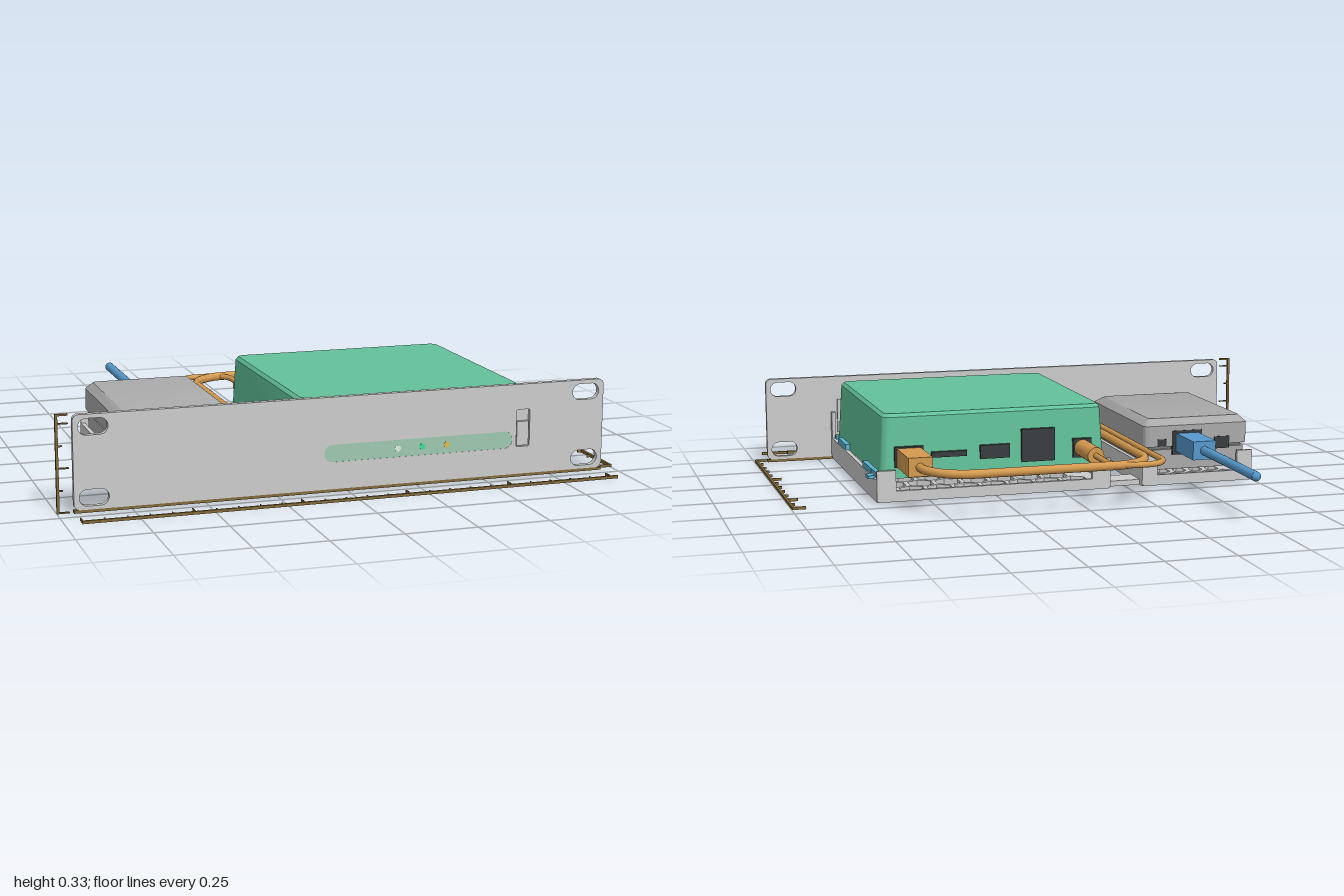
import * as THREE from 'three';
import { toCreasedNormals } from 'three/addons/utils/BufferGeometryUtils.js';

const mat = (color) => new THREE.MeshStandardMaterial({ color });
const M = {
  grey: mat(0xcccccc), device: mat(0xaaaaaa), seam: mat(0x777777), dark: mat(0x3a3d40),
  green: mat(0x62c29a), orange: mat(0xd49a50), blue: mat(0x5599cc), teal: mat(0x58b0cc),
  brown: mat(0x806a38), diffuser: mat(0x9fc8b2), ledWhite: mat(0xddeee4), ledGreen: mat(0x44dd99), ledAmber: mat(0xd8bd50),
};

export function createModel() {
  const root = new THREE.Group();
  const group = (name) => { const g = new THREE.Group(); g.name = name; root.add(g); return g; };
  const add = (parent, name, geo, material) => {
    const m = new THREE.Mesh(geo, material);
    m.name = name;
    parent.add(m);
    return m;
  };
  // Box given by its limits on each axis
  const box = (p, name, m, x0, x1, y0, y1, z0, z1) => {
    const b = add(p, name, new THREE.BoxGeometry(x1 - x0, y1 - y0, z1 - z0), m);
    b.position.set((x0 + x1) / 2, (y0 + y1) / 2, (z0 + z1) / 2);
    return b;
  };
  const roundRect = (target, x0, x1, y0, y1, r) => {
    target.moveTo(x0 + r, y0);
    target.lineTo(x1 - r, y0); target.absarc(x1 - r, y0 + r, r, -Math.PI / 2, 0);
    target.lineTo(x1, y1 - r); target.absarc(x1 - r, y1 - r, r, 0, Math.PI / 2);
    target.lineTo(x0 + r, y1); target.absarc(x0 + r, y1 - r, r, Math.PI / 2, Math.PI);
    target.lineTo(x0, y0 + r); target.absarc(x0 + r, y0 + r, r, Math.PI, Math.PI * 1.5);
    return target;
  };
  const extrude = (shape, depth) => toCreasedNormals(
    new THREE.ExtrudeGeometry(shape, { depth, bevelEnabled: false, curveSegments: 6 }), 0.6);
  // Horizontal plate: the shape is drawn in (x, -z)
  const flat = (shape, y0, y1) => extrude(shape, y1 - y0).rotateX(-Math.PI / 2).translate(0, y0, 0);
  // Rounded block whose top is inset on the four sides
  const taper = (x0, x1, z0, z1, r, y0, y1, inX, inBack, inFront) => {
    const g = flat(roundRect(new THREE.Shape(), x0, x1, -z1, -z0, r), y0, y1);
    const p = g.attributes.position, nx0 = x0 + inX, nx1 = x1 - inX, nz0 = z0 + inBack, nz1 = z1 - inFront;
    for (let i = 0; i < p.count; i++) {
      if (p.getY(i) < (y0 + y1) / 2) continue;
      p.setX(i, nx0 + (p.getX(i) - x0) / (x1 - x0) * (nx1 - nx0));
      p.setZ(i, nz0 + (p.getZ(i) - z0) / (z1 - z0) * (nz1 - nz0));
    }
    return toCreasedNormals(g, 0.6);
  };

  // Front panel with rack slots, light bar and switch opening
  const panel = group('frontPanel');
  const face = roundRect(new THREE.Shape(), -0.945, 0.95, 0.01, 0.33, 0.02);
  for (const x of [-0.877, 0.882]) for (const y of [0.05, 0.288])
    face.holes.push(roundRect(new THREE.Path(), x - 0.05, x + 0.05, y - 0.028, y + 0.028, 0.0279));
  face.holes.push(roundRect(new THREE.Path(), -0.085, 0.605, 0.105, 0.165, 0.0299));
  face.holes.push(roundRect(new THREE.Path(), 0.62, 0.67, 0.108, 0.24, 0.006));
  add(panel, 'panelPlate', extrude(face, 0.02).translate(0, 0, 0.69), M.grey);
  add(panel, 'lightBar', extrude(roundRect(new THREE.Shape(), -0.085, 0.605, 0.105, 0.165, 0.0299), 0.019)
    .translate(0, 0, 0.69), M.diffuser);
  [[0.18, M.ledWhite], [0.27, M.ledGreen], [0.36, M.ledAmber]].forEach(([x, m]) => {
    add(panel, 'indicatorLight', new THREE.CylinderGeometry(0.011, 0.011, 0.021, 16).rotateX(Math.PI / 2), m)
      .position.set(x, 0.135, 0.7);
  });
  box(panel, 'switchSlider', M.grey, 0.623, 0.667, 0.111, 0.197, 0.685, 0.708);
  box(panel, 'switchBack', M.grey, 0.62, 0.67, 0.108, 0.24, 0.68, 0.696);

  // Plate perforated by a honeycomb
  const honeycomb = (shape, x0, x1, z0, z1, cols, rows, wall) => {
    const px = (x1 - x0) / (cols + 0.5), pz = (z1 - z0) / rows;
    const rx = px / Math.sqrt(3) - wall, rz = pz / 1.5 - wall;
    for (let j = 0; j < rows; j++) for (let i = 0; i < cols; i++) {
      const cx = x0 + px * (i + 0.5 + (j % 2) / 2), cz = z0 + pz * (j + 0.5), pts = [];
      for (let k = 0; k < 6; k++) {
        const a = Math.PI / 6 + k * Math.PI / 3;
        pts.push(new THREE.Vector2(cx + rx * Math.cos(a), -cz + rz * Math.sin(a)));
      }
      shape.holes.push(new THREE.Path(pts));
    }
    return shape;
  };

  // Large tray
  const tray = group('largeTray');
  add(tray, 'trayFloor', flat(honeycomb(roundRect(new THREE.Shape(), -0.178, 0.695, -0.69, 0.19, 0.012),
    -0.125, 0.645, -0.13, 0.62, 7, 8, 0.009), 0.006, 0.026), M.grey);
  for (const x of [-0.178, 0.68]) {
    box(tray, 'traySide', M.grey, x, x + 0.015, 0.01, 0.087, -0.19, 0.69);
    box(tray, 'sideBrace', M.grey, x, x + 0.015, 0.087, 0.19, 0.668, 0.69);
  }
  box(tray, 'trayBack', M.grey, -0.178, 0.695, 0.01, 0.045, -0.19, -0.175);
  for (const x of [-0.178, 0.625]) box(tray, 'rearStop', M.grey, x, x + 0.07, 0.045, 0.12, -0.19, -0.175);
  for (const x of [-0.163, 0.655]) box(tray, 'supportLedge', M.grey, x, x + 0.025, 0.06, 0.085, -0.175, 0.68);

  // Small tray, its tapering neck and the two links
  const small = group('smallTray');
  add(small, 'smallTrayFloor', flat(honeycomb(roundRect(new THREE.Shape(), -0.737, -0.302, -0.45, 0.19, 0.012),
    -0.7, -0.34, -0.14, 0.4, 5, 8, 0.011), 0.006, 0.026), M.grey);
  const neck = new THREE.Shape([[-0.737, 0.44], [-0.302, 0.44], [-0.302, 0.47], [-0.44, 0.61], [-0.44, 0.69],
    [-0.56, 0.69], [-0.56, 0.61], [-0.737, 0.47]].map(([x, z]) => new THREE.Vector2(x, -z)).reverse());
  add(small, 'neckPlate', flat(neck, 0.006, 0.026), M.grey);
  for (const x of [-0.556, -0.5]) box(small, 'neckRib', M.grey, x, x + 0.012, 0.02, 0.075, 0.44, 0.69);
  for (const x of [-0.737, -0.317]) box(small, 'smallTraySide', M.grey, x, x + 0.015, 0.01, 0.09, -0.19, 0.45);
  box(small, 'smallTrayFront', M.grey, -0.737, -0.302, 0.01, 0.075, 0.438, 0.45);
  box(small, 'smallTrayBack', M.grey, -0.737, -0.302, 0.01, 0.045, -0.19, -0.178);
  for (const x of [-0.737, -0.362]) box(small, 'smallRearStop', M.grey, x, x + 0.06, 0.045, 0.12, -0.19, -0.178);
  for (const [z0, z1] of [[-0.16, -0.06], [0.325, 0.43]])
    box(small, 'trayLink', M.grey, -0.305, -0.17, 0.006, 0.026, z0, z1);

  // Large green unit with rear sockets and retaining clips
  const unit = group('greenUnit');
  add(unit, 'greenCase', taper(-0.165, 0.675, -0.165, 0.665, 0.03, 0.085, 0.305, 0.012, 0.012, 0.015), M.green);
  add(unit, 'greenLid', taper(-0.153, 0.663, -0.153, 0.65, 0.028, 0.305, 0.317, 0.01, 0.01, 0.01), M.green);
  for (const [name, x0, x1, y0, y1] of [['networkSocket', 0.03, 0.155, 0.12, 0.24], ['dataSocket', 0.2, 0.31, 0.14, 0.19],
    ['cardSlot', 0.36, 0.49, 0.155, 0.175], ['powerSocket', 0.52, 0.625, 0.125, 0.2], ['barrelSocket', -0.11, -0.04, 0.125, 0.195]])
    box(unit, name, M.dark, x0, x1, y0, y1, -0.173, -0.14);
  for (const z of [[-0.07, 0.08], [0.41, 0.56]]) {
    box(unit, 'leftClip', M.teal, 0.66, 0.692, 0.085, 0.108, ...z);
    box(unit, 'rightClip', M.teal, -0.175, -0.145, 0.085, 0.108, ...z);
  }
  for (const x of [-0.17, 0.58]) box(unit, 'frontClip', M.teal, x, x + 0.105, 0.083, 0.1, 0.64, 0.675);
  box(unit, 'releaseTab', M.teal, 0.67, 0.715, 0.083, 0.095, -0.135, -0.09);
  box(unit, 'releaseTabStem', M.teal, 0.66, 0.69, 0.09, 0.108, -0.165, -0.07);

  // Small grey unit in two halves with a bevelled lid
  const dev = group('smallUnit');
  add(dev, 'lowerShell', taper(-0.715, -0.325, -0.168, 0.428, 0.02, 0.06, 0.135, 0, 0, 0), M.device);
  add(dev, 'shellSeam', taper(-0.707, -0.333, -0.16, 0.42, 0.02, 0.135, 0.147, 0, 0, 0), M.seam);
  add(dev, 'upperShell', taper(-0.722, -0.315, -0.175, 0.438, 0.02, 0.147, 0.225, 0, 0, 0), M.device);
  add(dev, 'bevelledLid', taper(-0.722, -0.315, -0.175, 0.438, 0.02, 0.225, 0.25, 0.025, 0.025, 0.05), M.device);
  box(dev, 'rearSocket', M.dark, -0.54, -0.425, 0.115, 0.205, -0.178, -0.14);
  box(dev, 'sideSocket', M.dark, -0.65, -0.59, 0.13, 0.175, -0.178, -0.14);
  box(dev, 'smallPort', M.dark, -0.4, -0.365, 0.15, 0.175, -0.178, -0.14);
  box(dev, 'frontSlot', M.dark, -0.7, -0.59, 0.17, 0.19, 0.4, 0.441);

  // Cables: straight runs in plan joined by rounded bends
  const Y = 0.16;
  const cable = (name, m, radius, pts) => {
    const v = pts.map(([x, z]) => new THREE.Vector3(x, Y, z)), path = new THREE.CurvePath();
    let from = v[0];
    for (let i = 1; i < v.length - 1; i++) {
      const r = pts[i][2], a = v[i].clone().add(v[i - 1].clone().sub(v[i]).setLength(r));
      const b = v[i].clone().add(v[i + 1].clone().sub(v[i]).setLength(r)), k = 0.5523;
      path.add(new THREE.LineCurve3(from, a));
      path.add(new THREE.CubicBezierCurve3(a, a.clone().lerp(v[i], k), b.clone().lerp(v[i], k), b));
      from = b;
    }
    path.add(new THREE.LineCurve3(from, v[v.length - 1]));
    add(cables, name, new THREE.TubeGeometry(path, 240, radius, 12), m);
  };
  const barrel = (name, m, x, z0, z1, r) => add(cables, name,
    new THREE.CylinderGeometry(r, r, z1 - z0, 20).rotateX(Math.PI / 2), m).position.set(x, Y, (z0 + z1) / 2);
  const cables = group('cables');
  cable('powerCable', M.orange, 0.016, [[0.575, -0.34], [0.575, -0.52, 0.16], [-0.235, -0.52, 0.15],
    [-0.235, 0.652, 0.04], [-0.605, 0.652, 0.03], [-0.605, 0.6]]);
  cable('thinCable', M.orange, 0.011, [[-0.075, -0.32], [-0.075, -0.53, 0.08], [-0.28, -0.53, 0.08],
    [-0.28, 0.64, 0.04], [-0.44, 0.64, 0.03], [-0.44, 0.58]]);
  box(cables, 'powerPlugRear', M.orange, 0.53, 0.617, 0.127, 0.195, -0.355, -0.165);
  box(cables, 'powerPlugFront', M.orange, -0.648, -0.562, 0.127, 0.195, 0.43, 0.622);
  barrel('barrelPlugRear', M.orange, -0.075, -0.333, -0.165, 0.031);
  barrel('barrelPlugFront', M.orange, -0.44, 0.43, 0.598, 0.031);
  box(cables, 'bluePlug', M.blue, -0.525, -0.438, 0.127, 0.195, -0.355, -0.165);
  barrel('blueCable', M.blue, -0.482, -0.835, -0.34, 0.017);
  add(cables, 'blueCableEnd', new THREE.SphereGeometry(0.017, 16, 12), M.blue).position.set(-0.482, Y, -0.833);

  // Measuring rules along width, depth and height
  const rules = group('measuringRules'), step = 0.0747, t = 0.004;
  const ticks = (len, place) => {
    for (let i = 0; i * step <= len; i++) place(i * step, i % 5 === 0 ? 0.04 : 0.017);
  };
  box(rules, 'widthRule', M.brown, -0.945, 0.95, 0.002, 0.012, 0.836, 0.845);
  ticks(1.89, (d, l) => box(rules, 'widthTick', M.brown, -0.945 + d, -0.945 + d + t, 0.002, 0.012, 0.84 - l, 0.84));
  box(rules, 'depthRule', M.brown, 0.991, 1, 0.002, 0.012, -0.197, 0.695);
  ticks(0.88, (d, l) => box(rules, 'depthTick', M.brown, 0.995 - l, 0.995, 0.002, 0.012, 0.69 - d, 0.69 - d + t));
  box(rules, 'depthRuleEnd', M.brown, 0.95, 0.995, 0.002, 0.012, -0.197, -0.19);
  box(rules, 'heightRule', M.brown, -1, -0.991, 0, 0.333, 0.69, 0.7);
  ticks(0.32, (d) => box(rules, 'heightTick', M.brown, -0.995, d % (2 * step) < 0.01 ? -0.957 : -0.978, d, d + t, 0.69, 0.7));
  box(rules, 'heightRuleEnd', M.brown, -0.995, -0.957, 0.327, 0.333, 0.69, 0.7);
  box(rules, 'panelFootLine', M.brown, -0.945, 0.95, 0, 0.01, 0.69, 0.71);
  return root;
}
